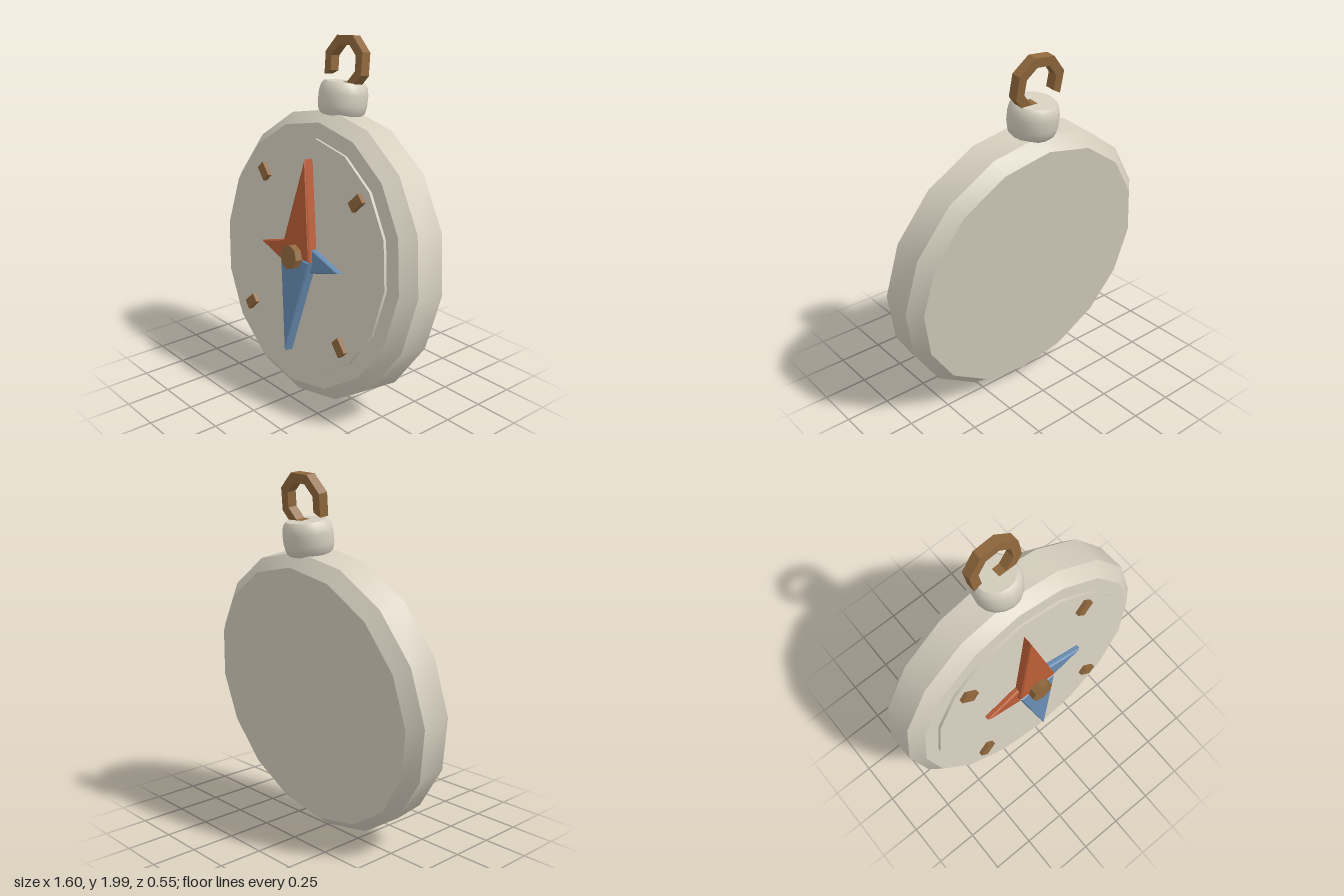
import * as THREE from 'three';
import { toCreasedNormals } from 'three/addons/utils/BufferGeometryUtils.js';

const mat = (name, color) => {
  const m = new THREE.MeshStandardMaterial({ color });
  m.name = name;
  return m;
};

export function createModel() {
  const ivory = mat('ivory', 0xd6cfbf);
  const brass = mat('brass', 0x8f673c);
  const red = mat('red', 0xb85c35);
  const blue = mat('blue', 0x668ab0);

  // Everything is modelled facing +z about the case centre, then leaned back.
  const compass = new THREE.Group();
  compass.name = 'compass';
  compass.position.set(0, 0.809, -0.016);
  compass.rotation.x = THREE.MathUtils.degToRad(-8);

  const add = (name, geometry, material) => {
    const mesh = new THREE.Mesh(geometry, material);
    mesh.name = name;
    compass.add(mesh);
    return mesh;
  };
  const lathe = (profile, sides, crease) => toCreasedNormals(
    new THREE.LatheGeometry(profile.map(([r, y]) => new THREE.Vector2(r, y)), sides), crease);

  // Case with chamfered rims, and a slightly raised dial
  add('case', lathe([[0, -0.15], [0.732, -0.15], [0.8, -0.086], [0.8, 0.086], [0.73, 0.15], [0, 0.15]], 16, 0.5)
    .rotateX(Math.PI / 2), ivory);
  add('dial', new THREE.CylinderGeometry(0.646, 0.646, 0.03, 16).rotateX(Math.PI / 2), ivory)
    .position.z = 0.152;

  // Rounded neck on top
  add('neck', lathe([[0, 0.77], [0.108, 0.77], [0.125, 0.79], [0.133, 0.83],
    [0.133, 0.89], [0.125, 0.93], [0.108, 0.95], [0, 0.95]], 16, 0.7), ivory);

  // Open loop of seven straight segments, its lower end sunk in the neck
  const arc = (r) => Array.from({ length: 8 }, (_, i) => {
    const a = THREE.MathUtils.degToRad(-108 + i * 45);
    return new THREE.Vector2(r * Math.cos(a), r * Math.sin(a));
  });
  const loopShape = new THREE.Shape([...arc(0.157), ...arc(0.104).reverse()]);
  add('loop', new THREE.ExtrudeGeometry(loopShape, { depth: 0.056, bevelEnabled: false }), brass)
    .position.set(0, 1.046, -0.028);

  // Diagonal hour markers
  for (let i = 0; i < 4; i++) {
    const a = Math.PI / 4 + i * Math.PI / 2;
    const marker = add('marker', new THREE.BoxGeometry(0.09, 0.056, 0.035), brass);
    marker.position.set(0.55 * Math.cos(a), 0.55 * Math.sin(a), 0.175);
    marker.rotation.z = a;
  }

  // Bevelled star points; each is a triangle from the centre outwards
  const point = (name, halfWidth, length, front, angle, material) => {
    const bevel = 0.01, back = 0.16;
    const shape = new THREE.Shape([
      new THREE.Vector2(-halfWidth, 0), new THREE.Vector2(halfWidth, 0), new THREE.Vector2(0, length)]);
    const geometry = new THREE.ExtrudeGeometry(shape, {
      depth: front - back - 2 * bevel, bevelThickness: bevel, bevelSize: bevel,
      bevelOffset: -bevel, bevelSegments: 1 });
    const mesh = add(name, geometry, material);
    mesh.position.z = back + bevel;
    mesh.rotation.z = angle;
  };
  point('northPoint', 0.126, 0.537, 0.224, 0, red);
  point('southPoint', 0.126, 0.545, 0.224, Math.PI, blue);
  point('westPoint', 0.1, 0.335, 0.2, Math.PI / 2, red);
  point('eastPoint', 0.1, 0.335, 0.2, -Math.PI / 2, blue);

  // Octagonal hub pin
  const hub = new THREE.CylinderGeometry(0.068, 0.068, 0.1, 8).rotateX(Math.PI / 2);
  add('hub', toCreasedNormals(hub, 0.3), brass).position.z = 0.216;

  const model = new THREE.Group();
  model.name = 'model';
  model.add(compass);
  return model;
}
